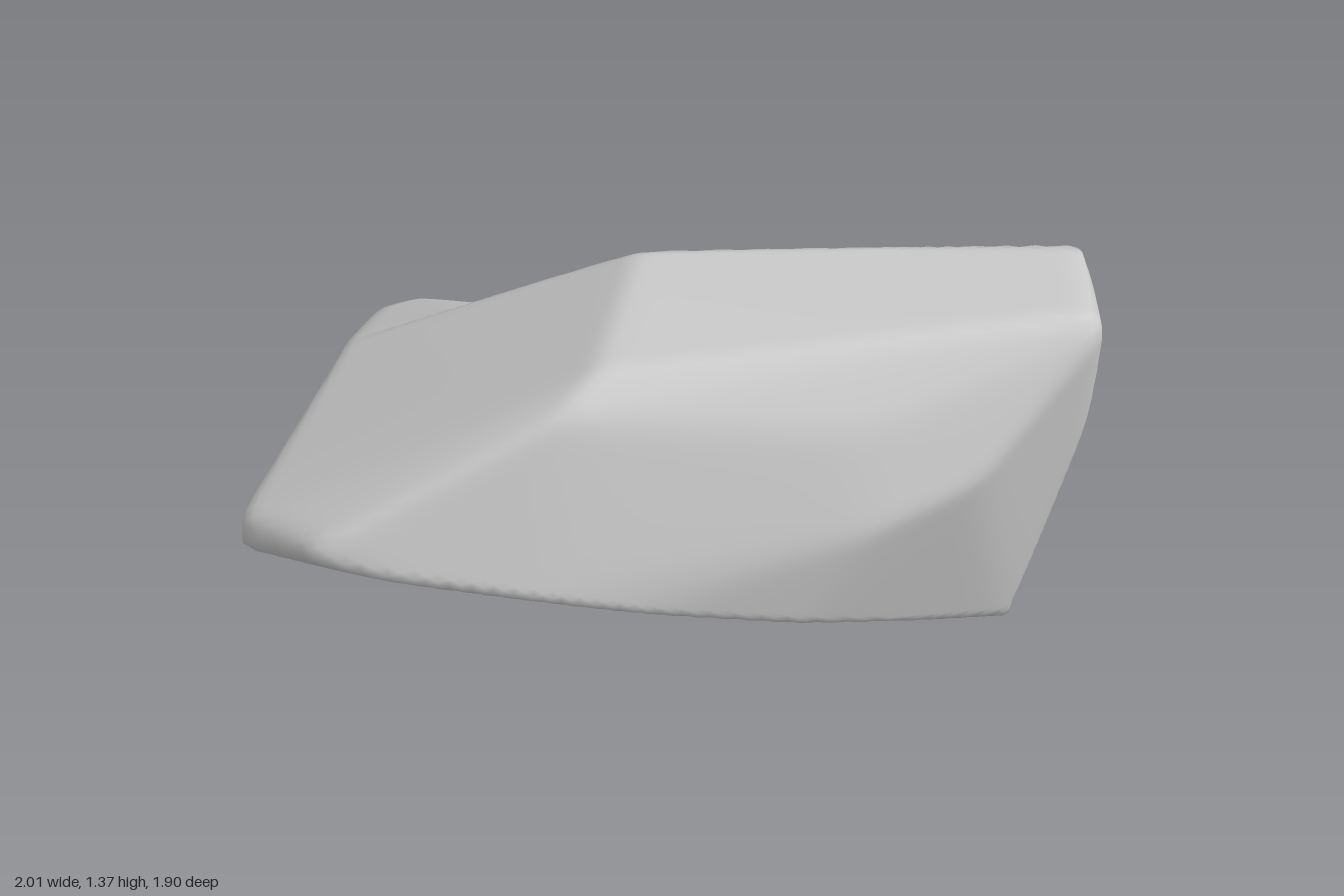
import * as THREE from 'three';
import { mergeVertices } from 'three/addons/utils/BufferGeometryUtils.js';
import { ConvexGeometry } from 'three/addons/geometries/ConvexGeometry.js';

const centre = new THREE.Vector3(0, 0.62, 0.15);
const toPoints = (list) => list.map((p) => new THREE.Vector3(...p).sub(centre));

// Rim of the sloping underside, shared by both bodies
const frontRim = [
  [0.83, 0.38, 0.27], [0.6, 0.53, 0.5], [0.35, 0.67, 0.71], [0, 0.78, 0.85],
  [-0.22, 0.84, 0.91], [-0.58, 0.9, 0.95], [-0.76, 0.93, 0.94], [-0.97, 0.83, 0.78],
];

// Left end of the rock
const leftEnd = [
  [-1, 0.5, 0.36], [-1, 0.44, 0.1], [-1, 0.8, 0.66], [-0.97, 0.91, 0.74],
  [-0.75, 0.98, 0.94], [-0.85, 0.96, 0.09], [-0.85, 0.83, -0.24],
];

// Leaning slab that runs down to the back foot
const slab = [
  ...frontRim, ...leftEnd,
  [-0.9, 0.58, -0.14], [-0.91, 0.28, -0.05], [-0.77, 0.13, -0.2], [-0.62, 0.1, -0.23],
  [0.5, 0.0, -0.3], [0.58, 0.0, -0.55], [0.67, 0.04, -0.24], [0.77, 0.22, 0.02],
  [0.48, 0.03, -0.86], [0.48, 0.16, -0.95], [0.47, 0.29, -0.95], [0.54, 0.31, -0.92],
  [0.56, 0.14, -0.88], [0.63, 0.47, -0.72], [0.74, 0.73, -0.37], [0.85, 0.89, -0.16],
  [0.89, 0.72, 0.1], [0.91, 0.9, 0], [-0.76, 0.81, -0.33], [-0.5, 1.08, 0.12],
];

// Raised block along the front
const block = [
  ...frontRim, ...leftEnd.slice(0, 6),
  [0.94, 1.35, 0.04], [1, 1.34, 0.38], [0.97, 1.37, 0.37], [0.98, 1.1, 0.06],
  [0.94, 1.22, 0], [0.94, 1.08, -0.06], [0.87, 0.97, -0.12], [0.84, 0.85, -0.17],
  [0.98, 1.0, 0.3], [0.74, 1.23, 0.5], [0.74, 1.02, 0.58], [0.5, 1.2, 0.63],
  [0.5, 0.95, 0.7], [-0.15, 1.35, 0.7], [-0.2, 1.28, 0.8], [-0.1, 1.35, 0.19],
  [-0.5, 1.15, 0.15], [-0.6, 1.11, 0.7], [0.22, 1.01, -0.08], [0.2, 0.85, -0.18],
  [0.65, 0.3, -0.1], [0.5, 0.15, -0.12], [-0.6, 0.25, 0], [-0.6, 0.6, -0.05],
];

// Face planes of a convex body around the centre
function planesOf(list) {
  const { position, normal } = new ConvexGeometry(toPoints(list)).attributes;
  const planes = [];
  for (let i = 0; i < position.count; i += 3) {
    const n = new THREE.Vector3().fromBufferAttribute(normal, i);
    const p = new THREE.Vector3().fromBufferAttribute(position, i);
    planes.push(n.divideScalar(n.dot(p)));
  }
  return planes;
}

// Distance to the surface in a direction; the power sum rounds the edges
function reach(planes, dir) {
  const power = 130;
  const cuts = planes.map((n) => Math.max(0, n.dot(dir)));
  const top = Math.max(...cuts);
  const sum = cuts.reduce((s, c) => s + (c / top) ** power, 0);
  return 1.008 / (top * sum ** (1 / power));
}

export function createModel() {
  const bodies = [planesOf(slab), planesOf(block)];
  let geometry = new THREE.IcosahedronGeometry(1, 46);
  geometry.deleteAttribute('uv');
  geometry.deleteAttribute('normal');
  geometry = mergeVertices(geometry);

  // Push a sphere out to the farther of the two bodies
  const pos = geometry.attributes.position;
  const dir = new THREE.Vector3();
  for (let i = 0; i < pos.count; i++) {
    dir.fromBufferAttribute(pos, i).normalize();
    dir.multiplyScalar(Math.max(...bodies.map((b) => reach(b, dir)))).add(centre);
    pos.setXYZ(i, dir.x, dir.y, dir.z);
  }

  // Stand it on the ground
  geometry.computeBoundingBox();
  geometry.translate(0, -geometry.boundingBox.min.y, 0);
  geometry.computeVertexNormals();

  const rock = new THREE.Mesh(geometry, new THREE.MeshStandardMaterial({ color: 0xcccccc }));
  rock.name = 'rock';
  const group = new THREE.Group();
  group.name = 'boulder';
  group.add(rock);
  return group;
}
